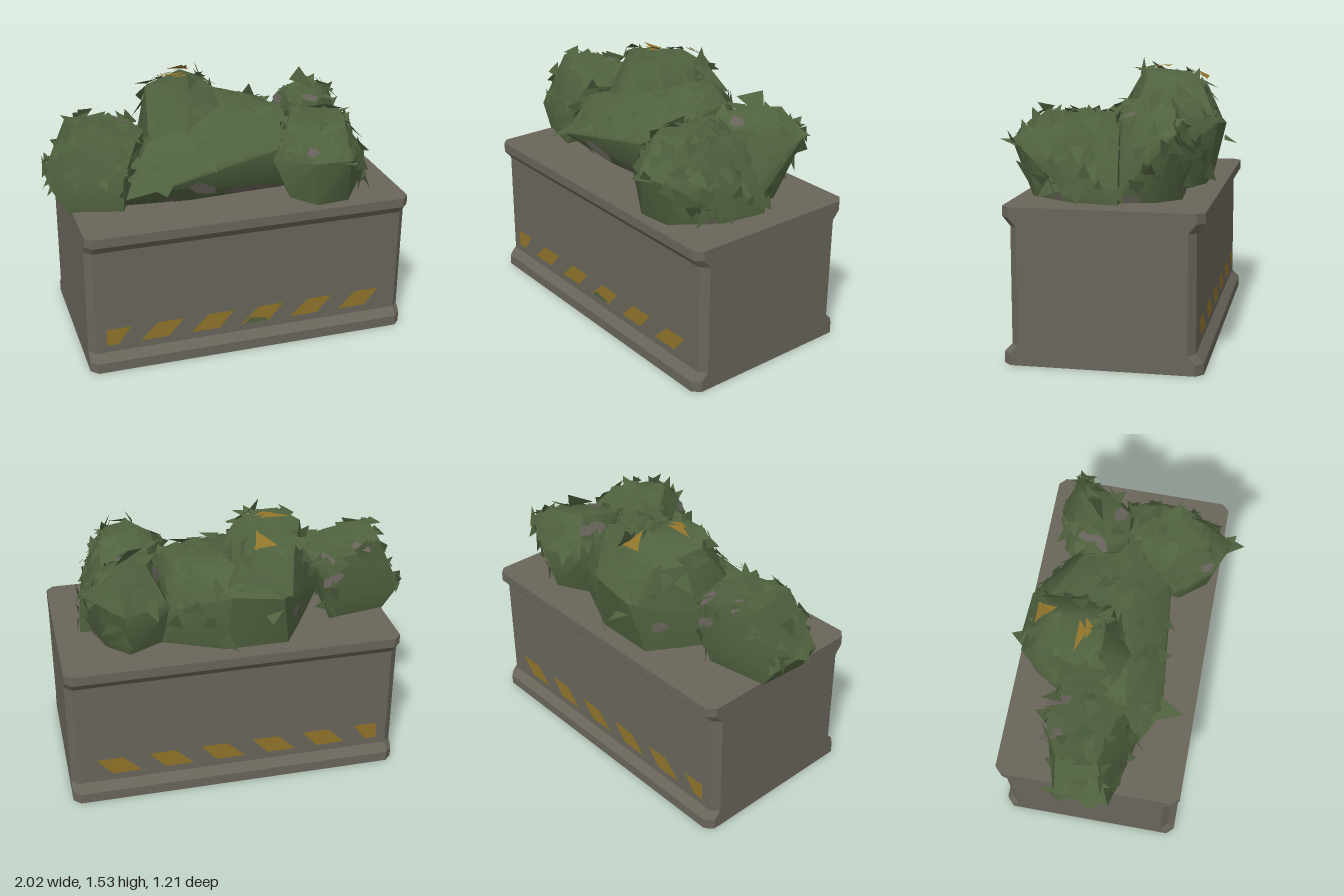
import * as THREE from 'three';
import { ConvexGeometry } from 'three/addons/geometries/ConvexGeometry.js';
import { toCreasedNormals } from 'three/addons/utils/BufferGeometryUtils.js';

const V = (x, y, z) => new THREE.Vector3(x, y, z);

// Small seeded random generator
function seeded(seed) {
  let s = seed;
  return () => {
    s = (s * 1664525 + 1013904223) % 4294967296;
    return s / 4294967296;
  };
}

function trianglesGeometry(points) {
  const g = new THREE.BufferGeometry().setFromPoints(points);
  g.computeVertexNormals();
  return g;
}

// Chamfered-corner outline swept up through a ribbed profile
function planterGeometry() {
  const hx = 0.94, c = 0.04;
  const profile = [[0, 0.523], [0.06, 0.523], [0.105, 0.481], [0.73, 0.481], [0.78, 0.523], [0.834, 0.523]];
  const rings = profile.map(([y, d]) => [
    [hx - c, d], [hx, d - c], [hx, c - d], [hx - c, -d],
    [c - hx, -d], [-hx, c - d], [-hx, d - c], [c - hx, d],
  ].map(([x, z]) => V(x + 0.06, y, z - 0.043)));
  const pts = [];
  for (let r = 0; r < rings.length - 1; r++) {
    for (let i = 0; i < 8; i++) {
      const j = (i + 1) % 8, a = rings[r], b = rings[r + 1];
      pts.push(a[i], a[j], b[j], a[i], b[j], b[i]);
    }
  }
  const top = rings[rings.length - 1], bottom = rings[0];
  for (let i = 1; i < 7; i++) {
    pts.push(top[0], top[i], top[i + 1], bottom[0], bottom[i + 1], bottom[i]);
  }
  return trianglesGeometry(pts);
}

// Scatter small, slightly lifted leaf triangles over the upper and outer faces
function scatterLeaves(geometry, count, rand) {
  const p = geometry.attributes.position, faces = [];
  let total = 0;
  for (let i = 0; i < p.count; i += 3) {
    const t = new THREE.Triangle(...[0, 1, 2].map(k => V(0, 0, 0).fromBufferAttribute(p, i + k)));
    total += t.getArea();
    faces.push({ t, sum: total });
  }
  const leaves = [];
  for (let n = 0; n < count; n++) {
    const pick = rand() * total;
    const { t } = faces.find(f => f.sum >= pick);
    let u = rand(), v = rand();
    if (u + v > 1) { u = 1 - u; v = 1 - v; }
    const base = t.a.clone()
      .addScaledVector(t.b.clone().sub(t.a), u)
      .addScaledVector(t.c.clone().sub(t.a), v);
    const normal = t.getNormal(V(0, 0, 0));
    const angle = rand() * Math.PI * 2, size = 0.05 + rand() * 0.07, tilt = rand() * 0.35;
    if (base.y < 0.9 || normal.y < -0.35 || (normal.y < 0.12 && normal.x < 0.35)) continue;
    const side = V(0.31, 0.2, 0.93).cross(normal).normalize().applyAxisAngle(normal, angle);
    const along = side.clone().cross(normal).normalize();
    base.addScaledVector(normal, 0.006);
    const a = base.clone().addScaledVector(side, size * 0.5);
    const b = base.clone().addScaledVector(side, -size * 0.4);
    const tip = base.clone().addScaledVector(along, size).addScaledVector(normal, size * tilt);
    const flip = b.clone().sub(a).cross(tip.clone().sub(a)).dot(normal) < 0;
    leaves.push(...(flip ? [a, tip, b] : [a, b, tip]));
  }
  return trianglesGeometry(leaves);
}

export function createModel() {
  const group = new THREE.Group();
  const mat = (name, color, options) => {
    const m = new THREE.MeshStandardMaterial({ color, ...options });
    m.name = name;
    return m;
  };
  const concrete = mat('concrete', 0x69655b, { flatShading: true });
  const leaf = mat('leaf green', 0x50623f, { side: THREE.DoubleSide });
  const dryLeaf = mat('dry grey leaf', 0x69635c, { side: THREE.DoubleSide });
  const yellow = mat('worn yellow', 0x90742a, { side: THREE.DoubleSide });
  const add = (name, geometry, material, parent = group) => {
    const m = new THREE.Mesh(geometry, material);
    m.name = name;
    parent.add(m);
    return m;
  };

  add('planterBox', planterGeometry(), concrete);

  // Slanted warning stripes on both long sides
  const y0 = 0.15, y1 = 0.25;
  const stripe = (name, corners, z, material) => {
    const q = corners.map(([x, y]) => V(x, y, z));
    const order = z > 0 ? [0, 1, 2, 0, 2, 3] : [0, 2, 1, 0, 3, 2];
    add(name, trianglesGeometry(order.map(i => q[i])), material);
  };
  for (const [sideName, z] of [['front', 0.441], ['back', -0.527]]) {
    stripe(sideName + 'Stripe', [[-0.78, y0], [-0.715, y0], [-0.64, y1], [-0.78, y1]], z, yellow);
    for (let i = 0; i < 5; i++) {
      const x = -0.587 + i * 0.2975;
      stripe(sideName + 'Stripe', [[x, y0], [x + 0.165, y0], [x + 0.252, y1], [x + 0.103, y1]], z, yellow);
    }
  }
  stripe('mossPatch', [[0.025, 0.152], [0.15, 0.15], [0.175, 0.165], [0.06, 0.185]], 0.444, leaf);

  // Faceted bush masses, each given by a few corner points
  const bushes = {
    leftBush: [190, [
      [-0.89, 0.81, 0.1], [-0.6, 0.83, 0.18], [-0.88, 0.82, -0.2], [-0.55, 0.83, -0.26],
      [-0.98, 0.97, 0.1], [-0.98, 0.96, -0.2], [-0.6, 1.02, 0.19], [-0.55, 1.0, -0.31],
      [-0.84, 1.31, 0.02], [-0.84, 1.28, -0.2], [-0.5, 1.21, 0.09], [-0.42, 1.2, -0.05],
      [-0.45, 1.19, -0.26], [-0.68, 1.24, -0.28]]],
    centreBush: [210, [
      [-0.58, 0.83, 0.1], [-0.35, 0.83, -0.3], [-0.25, 0.83, -0.46], [0.1, 0.83, -0.46],
      [0.45, 0.83, -0.3], [0.45, 0.83, 0.1], [-0.2, 0.83, 0.14],
      [-0.59, 0.91, 0.2], [-0.41, 0.99, 0.3], [0, 1.1, 0.25], [0.3, 1.12, 0.23],
      [-0.2, 1.15, -0.54], [0.08, 1.18, -0.52], [0.42, 1.05, -0.35], [-0.38, 1.1, -0.3],
      [-0.45, 1.18, 0.1], [0.02, 1.3, 0.02], [0.4, 1.26, 0], [0.33, 1.26, -0.28], [0, 1.32, -0.42]]],
    tallBush: [90, [
      [-0.41, 1.15, 0.02], [-0.38, 1.43, -0.17], [-0.28, 1.465, -0.06], [-0.16, 1.465, -0.06],
      [-0.03, 1.43, -0.1], [0.05, 1.27, -0.05], [-0.2, 1.2, 0.1], [-0.01, 1.38, -0.42],
      [-0.28, 1.36, -0.42], [-0.13, 1.45, -0.34], [0.1, 1.22, -0.5], [-0.25, 1.15, -0.52],
      [-0.4, 1.1, -0.33]]],
    rightFrontBush: [230, [
      [0.35, 0.83, 0.28], [0.46, 0.83, 0.42], [0.65, 0.83, 0.4], [0.82, 0.83, 0.15],
      [0.86, 0.83, -0.1], [0.4, 0.83, -0.1], [0.26, 1.05, 0.22], [0.42, 1.1, 0.45],
      [0.6, 1.13, 0.53], [0.75, 1.05, 0.38], [0.82, 1.0, 0.15], [0.86, 0.92, -0.1],
      [0.36, 1.24, 0.18], [0.5, 1.28, 0.36], [0.64, 1.26, 0.35], [0.7, 1.28, 0.12],
      [0.45, 1.26, -0.05], [0.72, 1.17, -0.08]]],
    rightBackBush: [150, [
      [0.42, 0.83, -0.3], [0.62, 0.83, -0.4], [0.74, 0.83, -0.28], [0.8, 0.83, -0.05],
      [0.5, 0.83, 0], [0.4, 1.1, -0.39], [0.65, 1.1, -0.47], [0.84, 1.2, -0.39],
      [0.8, 1.03, -0.14], [0.5, 1.3, -0.28], [0.68, 1.32, -0.37], [0.74, 1.26, -0.22],
      [0.45, 1.27, -0.05], [0.62, 1.25, -0.06]]],
  };
  const rand = seeded(17);
  const masses = [];
  for (const [name, [count, corners]] of Object.entries(bushes)) {
    const bush = new THREE.Group();
    bush.name = name;
    group.add(bush);
    const hull = new ConvexGeometry(corners.map(c => V(...c)));
    masses.push(add('foliageMass', toCreasedNormals(hull, 0.7), leaf, bush));
    add('leaves', scatterLeaves(hull, count, rand), leaf, bush);
  }

  // Flat grey patches laid on the foliage where a ray from outside meets it
  const ray = new THREE.Raycaster();
  const patch = (from, direction, width, height, turn) => {
    ray.set(V(...from), V(...direction).normalize());
    const hit = ray.intersectObjects(masses)[0];
    if (!hit) return;
    const shape = new THREE.Shape([[-1, -0.2], [-0.3, -1], [1, -0.6], [0.7, 0.5], [-0.6, 1]]
      .map(([x, y]) => new THREE.Vector2(x * width, y * height)));
    const normal = hit.face.normal.clone();
    const m = add('dryLeafPatch', new THREE.ShapeGeometry(shape), dryLeaf);
    m.position.copy(hit.point).addScaledVector(normal, 0.009);
    m.lookAt(m.position.clone().add(normal));
    m.rotateZ(turn);
  };
  const forward = [0, 0, -1], down = [0, -1, 0], backward = [0, 0, 1], inward = [-1, 0, 0];
  patch([-0.16, 0.95, 2], forward, 0.1, 0.04, -0.4);
  patch([0.16, 0.88, 2], forward, 0.19, 0.045, -0.1);
  patch([-0.33, 0.88, 2], forward, 0.05, 0.03, 0.5);
  patch([0.43, 1.15, 2], forward, 0.04, 0.03, 0.4);
  patch([-0.72, 2, -0.24], down, 0.08, 0.03, 0);
  patch([-0.52, 2, -0.25], down, 0.08, 0.03, 0);
  patch([0.46, 2, -0.27], down, 0.07, 0.035, 0.2);
  patch([0.6, 2, -0.12], down, 0.04, 0.05, 0.3);
  patch([-0.3, 1.0, -2], backward, 0.05, 0.035, 0.3);
  patch([-0.55, 1.1, -2], backward, 0.07, 0.03, 0.6);
  patch([0.43, 1.2, -2], backward, 0.035, 0.08, 0.2);
  patch([2, 0.86, 0.22], inward, 0.04, 0.025, 0);
  patch([2, 0.86, -0.14], inward, 0.07, 0.025, 0);

  // Larger spiky tips and yellow leaves, as single triangles
  const blade = (name, a, b, c, material) => add(name, trianglesGeometry([V(...a), V(...b), V(...c)]), material);
  blade('leafTip', [0.54, 1.12, 0.5], [0.66, 1.1, 0.49], [0.6, 1.13, 0.6], leaf);
  blade('leafTip', [-0.2, 1.08, -0.53], [-0.12, 1.04, -0.61], [-0.1, 1.06, -0.54], leaf);
  blade('leafTip', [-0.48, 1.0, 0.25], [-0.41, 1.0, 0.42], [-0.32, 1.02, 0.26], leaf);
  blade('leafTip', [0.5, 1.37, -0.2], [0.68, 1.28, -0.24], [0.6, 1.41, -0.3], leaf);
  blade('leafTip', [-0.95, 0.96, 0.04], [-0.95, 1.0, -0.04], [-1.0, 0.91, 0.02], leaf);
  blade('yellowLeaf', [-0.13, 1.44, -0.39], [-0.09, 1.475, -0.33], [-0.06, 1.41, -0.45], yellow);
  blade('yellowLeaf', [-0.18, 1.425, -0.44], [-0.11, 1.465, -0.37], [-0.05, 1.415, -0.44], yellow);
  blade('yellowLeaf', [-0.32, 1.475, -0.2], [-0.2, 1.485, -0.15], [-0.14, 1.48, -0.2], yellow);
  blade('yellowLeaf', [-0.24, 1.48, -0.15], [-0.17, 1.48, -0.12], [-0.12, 1.478, -0.17], yellow);
  return group;
}
